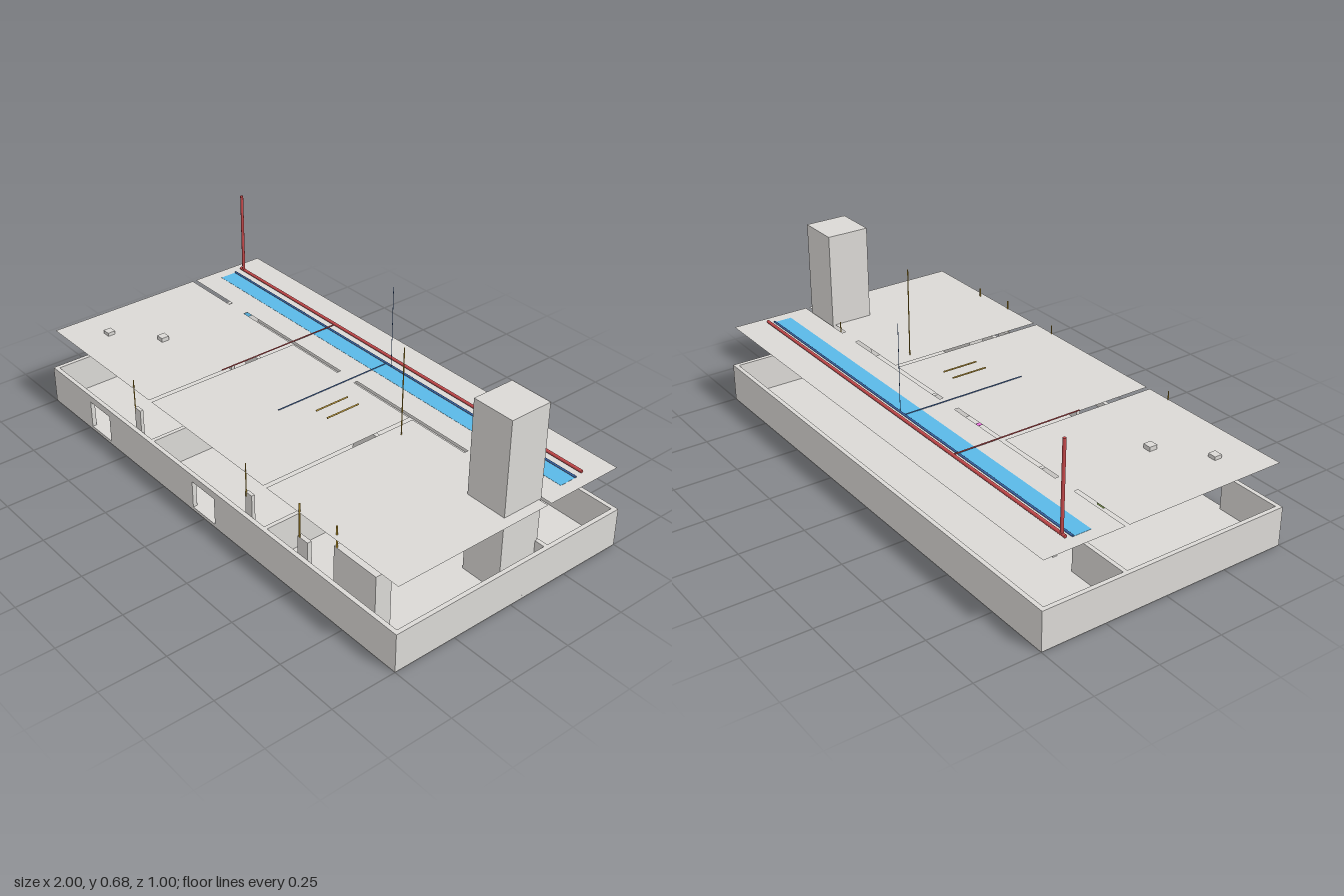
import * as THREE from 'three';

const mat = (name, color, side = THREE.FrontSide) => {
  const m = new THREE.MeshStandardMaterial({ color, side });
  m.name = name;
  return m;
};

export function createModel() {
  const root = new THREE.Group();
  root.name = 'buildingServicesModel';

  const grey = mat('concreteGrey', 0xdad8d5);
  const ceilingGrey = mat('ceilingGrey', 0xdad8d5, THREE.DoubleSide);
  const blue = mat('ductBlue', 0x5cbcec);
  const navy = mat('pipeNavy', 0x3a66a8);
  const red = mat('pipeRed', 0xc84a4c);
  const magenta = mat('pipeMagenta', 0xe468d6);
  const green = mat('ductGreen', 0xb2d272);
  const olive = mat('conduitGold', 0xc8a030);

  const group = (name) => {
    const g = new THREE.Group();
    g.name = name;
    root.add(g);
    return g;
  };
  // box given by its limits on each axis
  const box = (parent, name, m, x0, x1, y0, y1, z0, z1) => {
    const mesh = new THREE.Mesh(new THREE.BoxGeometry(x1 - x0, y1 - y0, z1 - z0), m);
    mesh.position.set((x0 + x1) / 2, (y0 + y1) / 2, (z0 + z1) / 2);
    mesh.name = name;
    parent.add(mesh);
  };
  // straight round pipe between two points
  const pipe = (parent, name, m, a, b, r) => {
    const p = new THREE.Vector3(...a), q = new THREE.Vector3(...b);
    const d = q.clone().sub(p);
    const mesh = new THREE.Mesh(new THREE.CylinderGeometry(r, r, d.length(), 32), m);
    mesh.position.copy(p).add(q).multiplyScalar(0.5);
    mesh.quaternion.setFromUnitVectors(new THREE.Vector3(0, 1, 0), d.normalize());
    mesh.name = name;
    parent.add(mesh);
  };

  const H = 0.15, F = 0.013, T = 0.017;

  // floor and outer walls
  const shell = group('shell');
  box(shell, 'floorSlab', grey, -1, 1, 0, F, -0.5, 0.5);
  box(shell, 'backWall', grey, -1, 1, F, H, -0.5, -0.5 + T);
  box(shell, 'leftWall', grey, 1 - T, 1, F, H, -0.5 + T, 0.5 - T);
  box(shell, 'rightWall', grey, -1, -1 + T, F, H, -0.5 + T, 0.5 - T);

  // front wall in pieces, with lintels over two door openings
  for (const [a, b] of [[-1, -0.733], [-0.602, -0.067], [0.063, 1]])
    box(shell, 'frontWall', grey, a, b, F, H, 0.5 - T, 0.5);
  for (const [a, b] of [[-0.733, -0.602], [-0.067, 0.063]])
    box(shell, 'doorLintel', grey, a, b, 0.122, H, 0.5 - T, 0.5);

  // inner walls: corridor wall with doorways, and two partitions
  const inner = group('innerWalls');
  for (const [a, b] of [[-0.983, -0.733], [-0.635, -0.067], [0.027, 0.6], [0.697, 0.983]])
    box(inner, 'corridorWall', grey, a, b, F, H, -0.173, -0.157);
  for (const x of [-0.334, 0.333])
    box(inner, 'partition', grey, x - 0.008, x + 0.008, F, H, -0.157, 0.483);
  for (const x of [-0.668, -0.003])
    box(inner, 'corridorFitting', grey, x - 0.017, x + 0.017, 0.064, 0.076, -0.483, -0.46);

  // thin ceilings over corridor, rooms and doorways
  const ceilings = group('ceilings');
  const CY = 0.3165;
  const ceiling = (name, x0, x1, z0, z1) => {
    const mesh = new THREE.Mesh(new THREE.PlaneGeometry(x1 - x0, z1 - z0), ceilingGrey);
    mesh.rotation.x = -Math.PI / 2;
    mesh.position.set((x0 + x1) / 2, CY, (z0 + z1) / 2);
    mesh.name = name;
    ceilings.add(mesh);
  };
  ceiling('corridorCeiling', -0.983, 0.983, -0.487, -0.173);
  for (const [a, b] of [[-0.983, -0.342], [-0.326, 0.325], [0.341, 0.983]])
    ceiling('roomCeiling', a, b, -0.157, 0.483);
  for (const [a, b] of [[-0.733, -0.635], [-0.067, 0.027], [0.6, 0.697]])
    ceiling('doorwayCeiling', a, b, -0.173, -0.157);

  // service shaft and front furniture
  box(root, 'serviceShaft', grey, 0.777, 0.943, F, 0.683, -0.167, 0);
  const fittings = group('fittings');
  box(fittings, 'cabinet', grey, 0.663, 0.863, F, 0.267, 0.4, 0.465);
  box(fittings, 'sidePanel', grey, 0.5, 0.552, F, 0.217, 0.464, 0.481);
  for (const x of [-0.428, 0.239])
    box(fittings, 'wallPanel', grey, x - 0.018, x + 0.018, 0.1, 0.235, 0.468, 0.481);

  // ceiling units at the ends of the branch ducts
  box(fittings, 'ceilingUnit', grey, -0.85, -0.818, 0.306, 0.33, 0.32, 0.35);
  box(fittings, 'ceilingUnit', grey, -0.683, -0.651, 0.316, 0.333, 0.185, 0.217);

  // air ducts
  const ducts = group('airDucts');
  box(ducts, 'mainDuct', blue, -0.935, 0.935, 0.285, 0.3172, -0.333, -0.267);
  box(ducts, 'branchDuct', blue, -0.683, -0.651, 0.285, 0.307, -0.267, 0.167);
  box(ducts, 'returnDuct', green, -0.85, -0.818, 0.303, 0.316, -0.15, 0.32);

  // red pipework with riser
  const redPipes = group('redPipes');
  pipe(redPipes, 'mainPipe', red, [-0.935, 0.328, -0.367], [0.935, 0.328, -0.367], 0.006);
  pipe(redPipes, 'riser', red, [-0.917, 0.328, -0.367], [-0.917, 0.657, -0.367], 0.006);
  pipe(redPipes, 'branchPipe', red, [-0.334, 0.325, -0.367], [-0.334, 0.325, 0.167], 0.0025);

  // navy pipework with riser
  const navyPipes = group('navyPipes');
  pipe(navyPipes, 'mainPipe', navy, [-0.935, 0.319, -0.338], [0.935, 0.319, -0.338], 0.004);
  pipe(navyPipes, 'branchPipe', navy, [0, 0.318, -0.338], [0, 0.318, 0.167], 0.002);
  pipe(navyPipes, 'riser', navy, [0.032, 0.318, -0.333], [0.032, 0.65, -0.333], 0.001);

  // drain pipe below the ceiling
  pipe(root, 'drainPipe', magenta, [-0.165, 0.2905, -0.15], [-0.165, 0.2905, 0.333], 0.0055);

  // conduits and strips
  const conduits = group('conduits');
  for (const x of [0.107, 0.167])
    pipe(conduits, 'ceilingStrip', olive, [x, 0.334, -0.06], [x, 0.334, 0.083], 0.003);
  for (const [x, z, y0, y1, r] of [
    [-0.443, 0.48, 0.217, 0.35, 0.002], [0.226, 0.48, 0.217, 0.35, 0.002],
    [0.51, 0.48, 0.217, 0.35, 0.003], [0.675, 0.463, 0.267, 0.35, 0.003],
    [0.722, -0.165, 0.267, 0.35, 0.002], [0.386, -0.065, 0.317, 0.66, 0.002],
  ])
    pipe(conduits, 'conduit', olive, [x, y0, z], [x, y1, z], r);

  return root;
}
